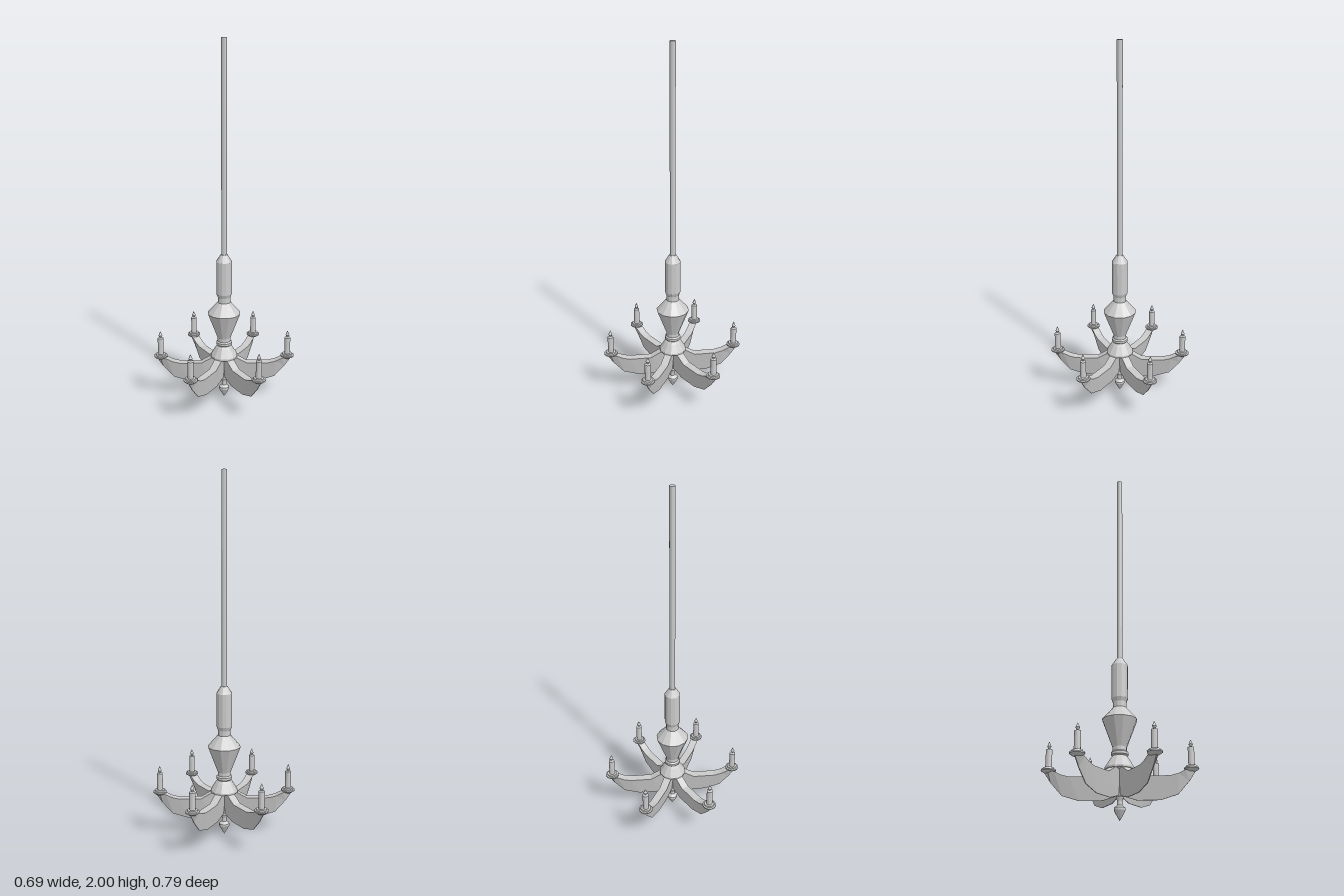
import * as THREE from 'three';

const SIDES = 12;
const material = new THREE.MeshStandardMaterial({ color: 0xcccccc, flatShading: true });

// Turned part from [radius, y] pairs listed bottom to top, with flats facing the axes
function turned(name, profile) {
  const points = profile.map(([r, y]) => new THREE.Vector2(r, y));
  const geometry = new THREE.LatheGeometry(points, SIDES, Math.PI / SIDES);
  const mesh = new THREE.Mesh(geometry, material);
  mesh.name = name;
  return mesh;
}

// Curved blade arm along +z: wide flat top, wedge section narrowing to a keel
function armGeometry() {
  // [top z, top y, keel z, keel y]
  const stations = [
    [0.01, 0.28, 0.0, 0.125],
    [0.085, 0.24, 0.03, 0.115],
    [0.128, 0.215, 0.085, 0.098],
    [0.25, 0.215, 0.2, 0.098],
    [0.29, 0.225, 0.287, 0.125],
    [0.325, 0.242, 0.345, 0.19],
    [0.36, 0.25, 0.378, 0.24],
  ];
  const topHalf = 0.022, keelHalf = 0.002;
  const positions = [], index = [];
  stations.forEach(([tz, ty, kz, ky]) => positions.push(
    topHalf, ty, tz, -topHalf, ty, tz, -keelHalf, ky, kz, keelHalf, ky, kz));
  for (let i = 0; i < stations.length - 1; i++) {
    for (let j = 0; j < 4; j++) {
      const a = i * 4 + j, b = i * 4 + (j + 1) % 4;
      index.push(a, b, b + 4, a, b + 4, a + 4);
    }
  }
  // Close both ends
  const e = (stations.length - 1) * 4;
  index.push(0, 2, 1, 0, 3, 2, e, e + 1, e + 2, e, e + 2, e + 3);
  const geometry = new THREE.BufferGeometry();
  geometry.setAttribute('position', new THREE.Float32BufferAttribute(positions, 3));
  geometry.setIndex(index);
  geometry.computeVertexNormals();
  return geometry;
}

export function createModel() {
  const model = new THREE.Group();
  model.name = 'chandelier';

  // Central column
  model.add(turned('hangingRod', [[0.0155, 0.83], [0.0155, 2], [0, 2]]));
  model.add(turned('upperColumn', [
    [0, 0.36], [0.037, 0.365], [0.092, 0.51], [0.036, 0.575], [0.036, 0.605],
    [0.044, 0.625], [0.044, 0.81], [0.019, 0.85], [0, 0.85],
  ]));
  model.add(turned('collar', [
    [0.034, 0.315], [0.045, 0.325], [0.045, 0.338], [0.037, 0.345], [0.037, 0.37],
  ]));
  model.add(turned('hubFlare', [
    [0.03, 0.245], [0.076, 0.25], [0.076, 0.26], [0.048, 0.305], [0.037, 0.32],
  ]));
  model.add(turned('lowerStem', [[0.012, 0.08], [0.012, 0.12], [0.03, 0.25]]));
  model.add(turned('finial', [
    [0, 0.0], [0.012, 0.018], [0.029, 0.05], [0.029, 0.062],
    [0.013, 0.075], [0.013, 0.095], [0.02, 0.115], [0, 0.13],
  ]));

  // Six arms, each with a drip pan, candle and flame
  const blade = armGeometry();
  for (let i = 0; i < 6; i++) {
    const arm = new THREE.Group();
    arm.name = 'arm' + (i + 1);
    const bladeMesh = new THREE.Mesh(blade, material);
    bladeMesh.name = 'armBlade';
    const holder = new THREE.Group();
    holder.name = 'candleHolder';
    holder.position.z = 0.358;
    holder.add(
      turned('dripPan', [
        [0, 0.236], [0.02, 0.238], [0.038, 0.25], [0.038, 0.257],
        [0.03, 0.259], [0.028, 0.266], [0, 0.267],
      ]),
      turned('candle', [[0.0165, 0.26], [0.0165, 0.36], [0.006, 0.364], [0, 0.364]]),
      turned('flame', [[0.004, 0.362], [0.011, 0.376], [0.006, 0.388], [0, 0.402]]),
    );
    arm.add(bladeMesh, holder);
    arm.rotation.y = (i * Math.PI) / 3;
    model.add(arm);
  }
  return model;
}
